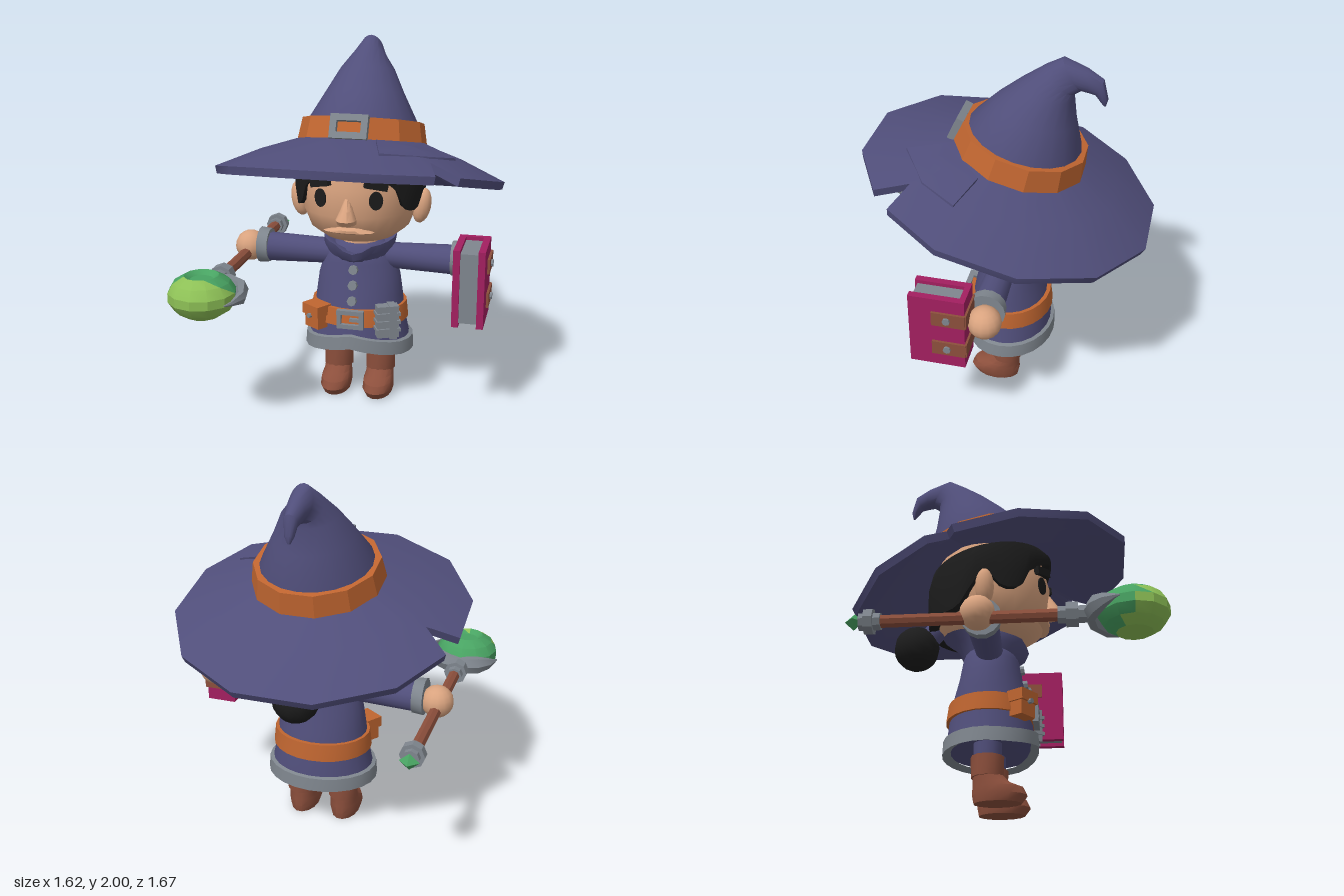
import * as THREE from 'three';
import { toCreasedNormals } from 'three/addons/utils/BufferGeometryUtils.js';

const mat = (name, color) => Object.assign(new THREE.MeshStandardMaterial({ color }), { name });
const M = {
  navy: mat('navy cloth', 0x504e7a), orange: mat('orange leather', 0xbf6530), gray: mat('gray metal', 0x7f868e),
  skin: mat('skin', 0xd9a37f), brown: mat('brown leather', 0x8c4f3c), black: mat('black hair', 0x1c1c1c),
  magenta: mat('magenta cover', 0xa31f60), lime: mat('lime crystal', 0x8dc056), green: mat('green crystal', 0x48a362),
};
const TAU = Math.PI * 2, D = Math.PI / 180;

function add(parent, name, geo, m, pos = [0, 0, 0], rot = [0, 0, 0]) {
  const mesh = new THREE.Mesh(geo, m);
  mesh.name = name;
  mesh.position.set(...pos);
  mesh.rotation.set(...rot);
  parent.add(mesh);
  return mesh;
}
const crease = (g, a = 0.65) => toCreasedNormals(g, a);
const box = (w, h, d) => new THREE.BoxGeometry(w, h, d);
const cyl = (r1, r2, h, n = 12) => crease(new THREE.CylinderGeometry(r1, r2, h, n));
const ball = (r, n = 14) => new THREE.SphereGeometry(r, n, 10);

// Surface through closed rings of points, listed bottom to top
function skin(rings, cap = true, angle = 0.65) {
  const n = rings[0].length, pos = rings.flat(2), idx = [];
  for (let s = 0; s < rings.length - 1; s++) for (let i = 0; i < n; i++) {
    const a = s * n + i, b = s * n + (i + 1) % n;
    idx.push(a, a + n, b, a + n, b + n, b);
  }
  if (cap) [0, rings.length - 1].forEach((s, k) => {
    const c = pos.length / 3;
    for (let j = 0; j < 3; j++) pos.push(rings[s].reduce((t, p) => t + p[j], 0) / n);
    for (let i = 0; i < n; i++) {
      const a = s * n + i, b = s * n + (i + 1) % n;
      k ? idx.push(a, c, b) : idx.push(a, b, c);
    }
  });
  const g = new THREE.BufferGeometry();
  g.setAttribute('position', new THREE.Float32BufferAttribute(pos, 3));
  g.setIndex(idx);
  return crease(g, angle);
}
const ring = (n, f) => Array.from({ length: n }, (_, i) => f(i / n * TAU));
// Oval ring; lift(a) raises points by angle
const oval = (y, rx, rz, zc, lift = () => 0, n = 24) =>
  ring(n, a => [rx * Math.cos(a), y + lift(a), zc + rz * Math.sin(a)]);
// Sections given by front point, back point and half width
const loft = (list, n = 16) => skin(list.map(([zf, yf, zb, yb, rx]) => ring(n, a => {
  const t = (1 + Math.sin(a)) / 2;
  return [rx * Math.cos(a), yb + (yf - yb) * t, zb + (zf - zb) * t];
})));
// Rectangular buckle frame
function frame(w, h, t, d) {
  const rect = (P, x, y) => new P([[-x, -y], [x, -y], [x, y], [-x, y]].map(p => new THREE.Vector2(...p)));
  const s = rect(THREE.Shape, w / 2, h / 2);
  s.holes.push(rect(THREE.Path, w / 2 - t, h / 2 - t));
  return new THREE.ExtrudeGeometry(s, { depth: d, bevelEnabled: false });
}

function buildHat(parent) {
  const hat = new THREE.Group();
  hat.name = 'hat';
  hat.position.set(0.003, 1.24, -0.085);
  hat.rotation.x = -0.25;
  parent.add(hat);
  // Twelve-sided brim with two torn notches
  const rim = [];
  for (let k = 0; k < 12; k++) {
    const a = 15 + 30 * k;
    if (a === 45 || a === 195) rim.push([a - 5.5, 0.785], [a, 0.63], [a + 5.5, 0.785]);
    else rim.push([a, 0.797]);
  }
  const brimRing = (f) => rim.map(([a, o]) => {
    const [r, y] = f(o);
    return [r * Math.cos(a * D), y, r * Math.sin(a * D)];
  });
  const height = r => r < 0.55 ? 0.215 - (r - 0.345) * 0.366 : 0.14 - (r - 0.55) * 0.449;
  add(hat, 'hatBrim', skin([
    brimRing(() => [0.32, 0.17]), brimRing(o => [Math.min(0.69, o - 0.03), height(o) - 0.03]),
    brimRing(o => [o - 0.012, height(o) - 0.042]), brimRing(o => [o, height(o)]),
    brimRing(() => [0.55, 0.14]), brimRing(() => [0.3, 0.225]),
  ], false), M.navy);
  // Cloth patch lying on the brim
  const patch = [[0.36, 0.14], [0.54, 0.2], [0.44, 0.39], [0.205, 0.545], [0.15, 0.365]];
  const patchRing = (k, lift) => patch.map(([px, pz]) => {
    const x = 0.34 + (px - 0.34) * k, z = 0.328 + (pz - 0.328) * k;
    const off = ((Math.atan2(z, x) / D + 360) % 30) - 30 * 0.5 - 15;
    const side = Math.abs(off + 15) - 0;
    const r = Math.hypot(x, z) * Math.cos((15 - side) * D) / Math.cos(15 * D);
    return [x, height(r) + lift, z];
  });
  add(hat, 'brimPatch', skin([patchRing(1, -0.02), patchRing(1, 0.014), patchRing(0.5, 0.014), patchRing(0.05, 0.014)]), M.navy);
  // Crown with its bent tip
  add(hat, 'hatCrown', loft([
    [0.32, 0.2, -0.32, 0.2, 0.32], [0.3, 0.32, -0.3, 0.32, 0.3], [0.205, 0.475, -0.225, 0.48, 0.215],
    [0.108, 0.605, -0.175, 0.61, 0.15], [0.01, 0.725, -0.172, 0.635, 0.095], [-0.062, 0.797, -0.2, 0.66, 0.062],
    [-0.19, 0.782, -0.24, 0.662, 0.05], [-0.285, 0.752, -0.27, 0.66, 0.036], [-0.335, 0.66, -0.295, 0.64, 0.025],
    [-0.336, 0.62, -0.325, 0.617, 0.008],
  ], 20), M.navy);
  // Band and buckle
  const band = [[0.3, 0.2], [0.356, 0.2], [0.334, 0.322], [0.29, 0.322]].map(p => new THREE.Vector2(...p));
  add(hat, 'hatBand', crease(new THREE.LatheGeometry(band, 12, 15 * D), 0.4), M.orange);
  add(hat, 'hatBuckle', frame(0.2, 0.13, 0.035, 0.04), M.gray, [0, 0.262, 0.325], [-0.18, 0, 0]);
}

function buildHead(parent) {
  const head = new THREE.Group();
  head.name = 'head';
  parent.add(head);
  add(head, 'face', skin([[0.915, 0.12, 0.12], [0.94, 0.2, 0.2], [1, 0.275, 0.285], [1.1, 0.315, 0.32],
    [1.25, 0.327, 0.328], [1.4, 0.3, 0.29]].map(([y, rx, rz]) => oval(y, rx, rz, -0.1)), true, 1), M.skin);
  add(head, 'neck', cyl(0.11, 0.12, 0.2), M.skin, [0, 0.87, -0.1]);
  // Hair shell whose lower edge follows the hairline; angle is measured from the front
  const line = [[0, 1.4], [18, 1.36], [38, 1.28], [48, 1.23], [54, 1.13], [72, 1.11], [84, 1.18], [98, 1.16], [115, 1.01], [180, 0.99]];
  const hairline = a => {
    const d = Math.abs(((a / D - 90 + 540) % 360) - 180);
    const k = Math.max(1, line.findIndex(p => p[0] >= d - 1e-6));
    const [p, q] = [line[k - 1], line[k]];
    return p[1] + (q[1] - p[1]) * (d - p[0]) / (q[0] - p[0]);
  };
  const hair = [[0, 0.88], [0, 0.97], [0.3, 1], [0.75, 1], [1, 0.95], [1.25, 0.6]].map(([t, k]) => ring(48, a => {
    const z = -0.105 + 0.345 * k * Math.sin(a), top = 1.37 + 0.2 * (z + 0.1), h = hairline(a);
    return [0.36 * k * Math.cos(a), t > 1 ? top + 0.04 : h + (top - h) * t, z];
  }));
  add(head, 'hair', skin(hair, true, 0.9), M.black);
  add(head, 'hairTie', cyl(0.06, 0.06, 0.07, 10), M.navy, [0, 1.005, -0.415], [0.75, 0, 0]);
  add(head, 'hairBun', ball(0.125, 12), M.black, [0, 0.915, -0.51]);
  add(head, 'nose', loft([[0.2, 1.065, 0.18, 1.065, 0.03], [0.27, 1.07, 0.18, 1.08, 0.052], [0.3, 1.1, 0.18, 1.1, 0.056],
    [0.27, 1.15, 0.18, 1.15, 0.035], [0.23, 1.21, 0.18, 1.2, 0.015]], 10), M.skin);
  add(head, 'mouth', loft([[0.19, 1.005, 0.12, 1.005, 0.1], [0.225, 1.02, 0.12, 1.02, 0.14], [0.228, 1.035, 0.12, 1.035, 0.09],
    [0.19, 1.05, 0.12, 1.05, 0.07]], 12), M.skin);
  for (const s of [-1, 1]) {
    add(head, 'ear', ball(0.1), M.skin, [s * 0.345, 1.11, -0.1], [0, 0, -s * 0.18]).scale.set(0.5, 1, 0.5);
    add(head, 'eye', cyl(0.05, 0.05, 0.008, 16), M.black, [s * 0.15, 1.2, 0.194], [Math.PI / 2, 0, -s * 0.48]).scale.set(0.76, 1, 1);
    add(head, 'eyebrow', box(0.125, 0.045, 0.03), M.black, [s * 0.15, 1.285, 0.195], [0, s * 0.48, -s * 0.22]);
  }
}

function buildBody(parent) {
  const zc = -0.095;
  const arch = a => Math.sin(a) > 0 ? 0.055 * Math.max(0, 1 - 1.1 * Math.abs(Math.cos(a))) : 0;
  add(parent, 'robe', skin([[0.31, 0.295, 0.235], [0.46, 0.262, 0.22], [0.6, 0.245, 0.195], [0.7, 0.232, 0.17],
    [0.79, 0.205, 0.155], [0.87, 0.165, 0.14], [0.9, 0.12, 0.11]].map(([y, rx, rz], i) => oval(y, rx, rz, zc, i ? undefined : arch)), true, 0.9), M.navy);
  add(parent, 'hem', skin([[0.295, 0.27, 0.21], [0.275, 0.312, 0.254], [0.35, 0.306, 0.25], [0.36, 0.27, 0.21]]
    .map(([y, rx, rz]) => oval(y, rx, rz, zc, arch)), false), M.gray);
  // Raised collar, taller at the back, open at the throat
  const rise = a => 0.055 * (1 - Math.sin(a)) / 2 - (Math.sin(a) > 0.9 ? 0.04 * (Math.sin(a) - 0.9) / 0.1 : 0);
  add(parent, 'collar', skin([oval(0.8, 0.16, 0.14, zc), oval(0.86, 0.2, 0.19, -0.1, rise), oval(0.905, 0.205, 0.235, -0.125, rise),
    oval(0.9, 0.18, 0.21, -0.125, rise), oval(0.85, 0.1, 0.1, zc)], false), M.navy);
  [0.595, 0.68, 0.765].forEach((y, i) => add(parent, 'button', cyl(0.026, 0.028, 0.03, 8), M.gray, [0, y, 0.105 - i * 0.018], [Math.PI / 2 - 0.15, 0, 0]));
  // Belt, buckle and pouches
  add(parent, 'belt', skin([[0.455, 0.24, 0.2], [0.455, 0.278, 0.238], [0.55, 0.268, 0.226], [0.55, 0.23, 0.18]]
    .map(([y, rx, rz]) => oval(y, rx, rz, zc)), false), M.orange);
  add(parent, 'beltBuckle', frame(0.15, 0.105, 0.024, 0.03), M.gray, [0, 0.503, 0.13]);
  add(parent, 'buckleProng', box(0.065, 0.018, 0.02), M.gray, [0.03, 0.503, 0.15]);
  const pouch = new THREE.Group();
  pouch.name = 'beltPouch';
  pouch.position.set(-0.205, 0.49, 0.085);
  pouch.rotation.y = -0.6;
  add(pouch, 'pouchBag', box(0.11, 0.13, 0.08), M.orange);
  add(pouch, 'pouchFlap', box(0.13, 0.06, 0.1), M.orange, [0, 0.04, 0.002]);
  add(pouch, 'pouchStud', cyl(0.014, 0.014, 0.02, 8), M.gray, [0, 0.01, 0.055], [Math.PI / 2, 0, 0]);
  const kit = new THREE.Group();
  kit.name = 'toolCase';
  kit.position.set(0.2, 0.505, 0.115);
  kit.rotation.y = 0.45;
  add(kit, 'caseBody', box(0.12, 0.18, 0.06), M.gray);
  for (const y of [-0.045, 0.0, 0.045]) add(kit, 'caseStrap', box(0.135, 0.018, 0.075), M.gray, [0, y, 0.004]);
  add(kit, 'caseFlap', box(0.04, 0.19, 0.08), M.gray, [0.025, 0, 0.004]);
  parent.add(pouch, kit);
  // Arms and legs on both sides
  for (const s of [-1, 1]) {
    const turn = [0, 0, -s * Math.PI / 2];
    add(parent, 'sleeve', cyl(0.083, 0.07, 0.43, 14), M.navy, [s * 0.325, 0.815, -0.09], turn);
    add(parent, 'cuff', cyl(0.102, 0.096, 0.06, 14), M.gray, [s * 0.55, 0.822, -0.09], turn);
    add(parent, 'hand', ball(0.088), M.skin, [s * 0.645, 0.81, -0.1]);
    add(parent, 'leg', cyl(0.075, 0.072, 0.18), M.navy, [s * 0.123, 0.29, -0.1]);
    add(parent, 'bootCuff', cyl(0.086, 0.084, 0.11), M.brown, [s * 0.123, 0.188, -0.1]);
    const foot = loft([[0.075, 0, -0.17, 0, 0.075], [0.105, 0.04, -0.178, 0.04, 0.088], [0.085, 0.08, -0.176, 0.08, 0.086],
      [0.02, 0.105, -0.175, 0.105, 0.08], [-0.025, 0.15, -0.175, 0.15, 0.076]], 14);
    add(parent, 'boot', foot, M.brown, [s * 0.123, 0, 0]);
  }
}

function buildStaff(parent) {
  const staff = new THREE.Group();
  staff.name = 'staff';
  staff.position.set(-0.65, 0.78, 0);
  parent.add(staff);
  const along = [Math.PI / 2, 0, 0];
  add(staff, 'shaft', cyl(0.033, 0.033, 1, 8), M.brown, [0, 0, -0.13], along);
  for (const [z, h, r] of [[0.36, 0.06, 0.065], [0.31, 0.04, 0.045], [0.41, 0.05, 0.045], [-0.63, 0.045, 0.066], [-0.59, 0.035, 0.045], [-0.665, 0.03, 0.045]])
    add(staff, 'shaftRing', cyl(r, r, h, 8), M.gray, [0, 0, z], along);
  const tip = add(staff, 'endGem', new THREE.OctahedronGeometry(0.052).toNonIndexed?.() ?? new THREE.OctahedronGeometry(0.052), M.green, [0, 0, -0.705]);
  tip.scale.set(1, 0.85, 0.9);
  // Tapering claws that hold the orb
  const claw = end => skin([0, 0.2, 0.45, 0.7, 0.9, 1].map(t => {
    const th = (-95 + (end + 95) * t) * D, k = [1, 1][0] * Math.max(0.06, Math.sin((0.25 + 0.75 * t) * Math.PI));
    return ring(6, a => {
      const r = 0.205 + 0.04 * k * Math.cos(a);
      return [r * Math.cos(th), -0.055 * k * Math.sin(a), r * Math.sin(th)];
    });
  }));
  add(staff, 'longClaw', claw(38), M.gray, [0, 0, 0.655]);
  add(staff, 'shortClaw', claw(-20), M.gray, [0, 0, 0.655], [0, 0, Math.PI]);
  // Flattened orb with a hollow on top, split into lime front and green back
  const pts = [[0, -0.108], [0.09, -0.106], [0.145, -0.07], [0.175, -0.022], [0.175, 0.025], [0.145, 0.075], [0.09, 0.108], [0.06, 0.085], [0, 0.085]];
  const src = crease(new THREE.LatheGeometry(pts.map(p => new THREE.Vector2(...p)), 12), 0.5);
  const p = src.attributes.position, groups = [[], []];
  for (let i = 0; i < p.count; i += 3) {
    const y = (p.getY(i) + p.getY(i + 1) + p.getY(i + 2)) / 3, z = (p.getZ(i) + p.getZ(i + 1) + p.getZ(i + 2)) / 3;
    groups[z - 0.75 * y > 0 ? 0 : 1].push(i, i + 1, i + 2);
  }
  src.setIndex(groups.flat());
  src.addGroup(0, groups[0].length, 0);
  src.addGroup(groups[0].length, groups[1].length, 1);
  add(staff, 'orb', src, [M.lime, M.green], [0, 0, 0.655]);
}

function buildBook(parent) {
  const book = new THREE.Group();
  book.name = 'book';
  book.position.set(0.653, 0.775, 0.125);
  parent.add(book);
  add(book, 'pages', box(0.1, 0.38, 0.26), M.gray, [0, 0, 0.002]);
  add(book, 'spine', box(0.13, 0.42, 0.03), M.magenta, [0, 0, -0.13]);
  for (const s of [-1, 1]) {
    add(book, 'cover', box(0.036, 0.42, 0.29), M.magenta, [s * 0.065, 0, 0]);
    for (const y of [-0.093, 0.093]) {
      add(book, 'strap', box(0.014, 0.08, 0.175), M.brown, [s * 0.089, y, -0.063]);
      add(book, 'rivet', cyl(0.02, 0.02, 0.02, 8), M.gray, [s * 0.097, y, -0.055], [0, 0, Math.PI / 2]);
    }
  }
  for (const y of [-0.093, 0.093]) add(book, 'spineStrap', box(0.18, 0.08, 0.012), M.brown, [0, y, -0.15]);
}

export function createModel() {
  const model = new THREE.Group();
  model.name = 'model';
  const figure = new THREE.Group();
  figure.name = 'figure';
  figure.position.x = 0.025;
  model.add(figure);
  [buildHat, buildHead, buildBody, buildStaff, buildBook].forEach(build => build(figure));
  return model;
}
